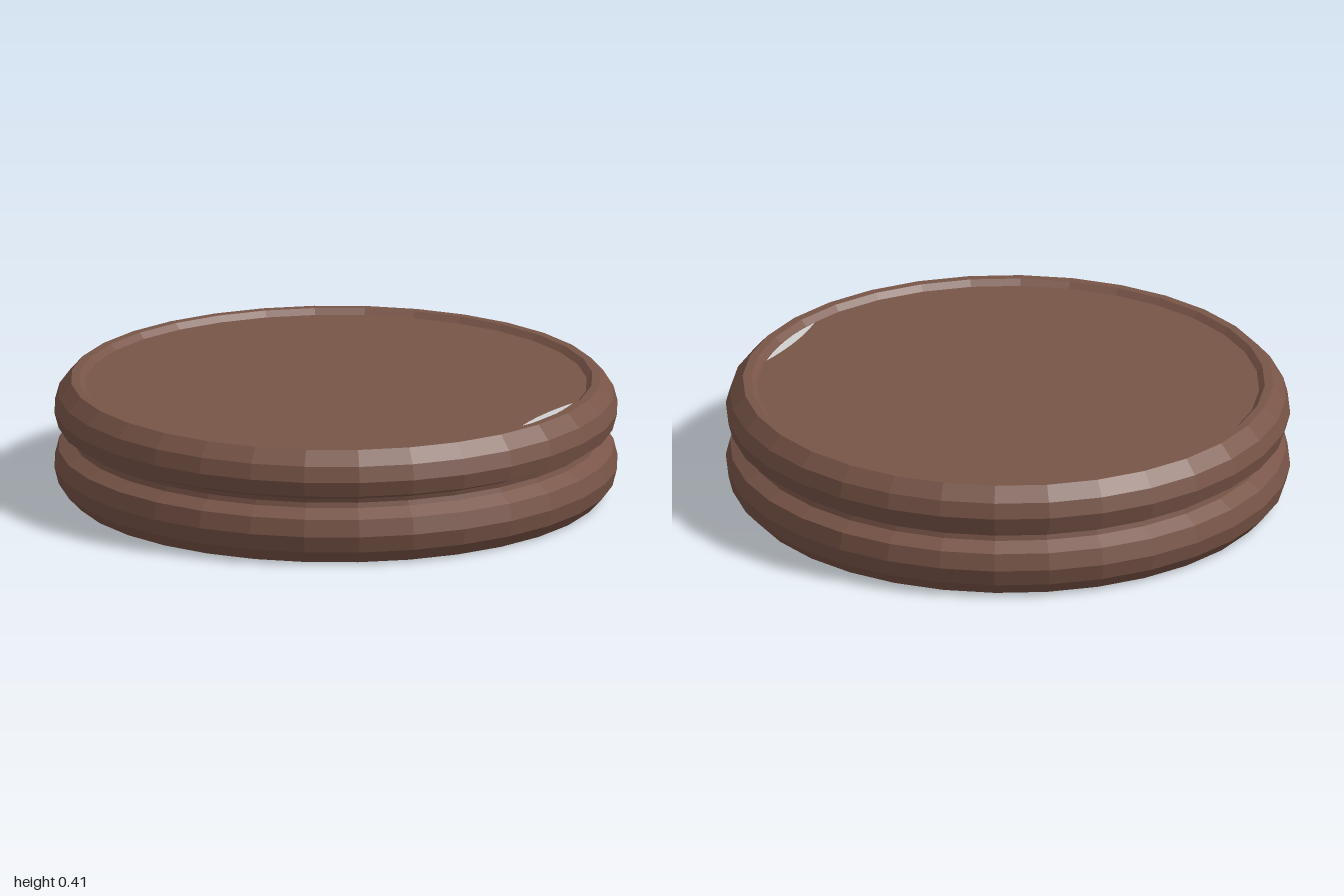
import * as THREE from 'three';

const SIDES = 32;

export function createModel() {
  const model = new THREE.Group();
  model.name = 'sandwichCookie';
  const brown = new THREE.MeshStandardMaterial({ name: 'cocoa brown', color: 0x795548, flatShading: true });
  const cream = new THREE.MeshStandardMaterial({ name: 'cream', color: 0xd0d0d0 });

  const add = (name, geometry, material) => {
    const mesh = new THREE.Mesh(geometry, material);
    mesh.name = name;
    model.add(mesh);
    return mesh;
  };
  const lathe = (points) =>
    new THREE.LatheGeometry(points.map(([r, y]) => new THREE.Vector2(r, y)), SIDES);

  // Lower wafer with a rounded rim, closed underneath
  add('lowerWafer', lathe([
    [0, 0.002], [0.94, 0.002], [0.985, 0.05], [1, 0.11], [0.985, 0.17], [0.935, 0.2],
  ]), brown);

  // Narrow waist between the wafers
  add('waist', lathe([[0.935, 0.2], [0.93, 0.218], [0.935, 0.235]]), brown);

  // Upper wafer with a raised lip around a shallow recess
  add('upperWafer', lathe([
    [0.935, 0.235], [0.985, 0.255], [1, 0.31], [0.985, 0.365], [0.94, 0.415],
    [0.91, 0.415], [0.89, 0.395], [0, 0.395],
  ]), brown);

  // Cream disc on the underside
  const disc = add('bottomCream', new THREE.CircleGeometry(0.82, 64), cream);
  disc.rotation.x = Math.PI / 2;

  // Sliver of cream showing at the edge of the recess
  const sliver = new THREE.Shape();
  sliver.moveTo(0.865, -0.17);
  sliver.quadraticCurveTo(0.82, -0.37, 0.71, -0.52);
  sliver.quadraticCurveTo(0.755, -0.34, 0.865, -0.17);
  const edge = add('topCreamSliver', new THREE.ShapeGeometry(sliver, 8), cream);
  edge.rotation.x = -Math.PI / 2;
  edge.position.y = 0.399;

  return model;
}
